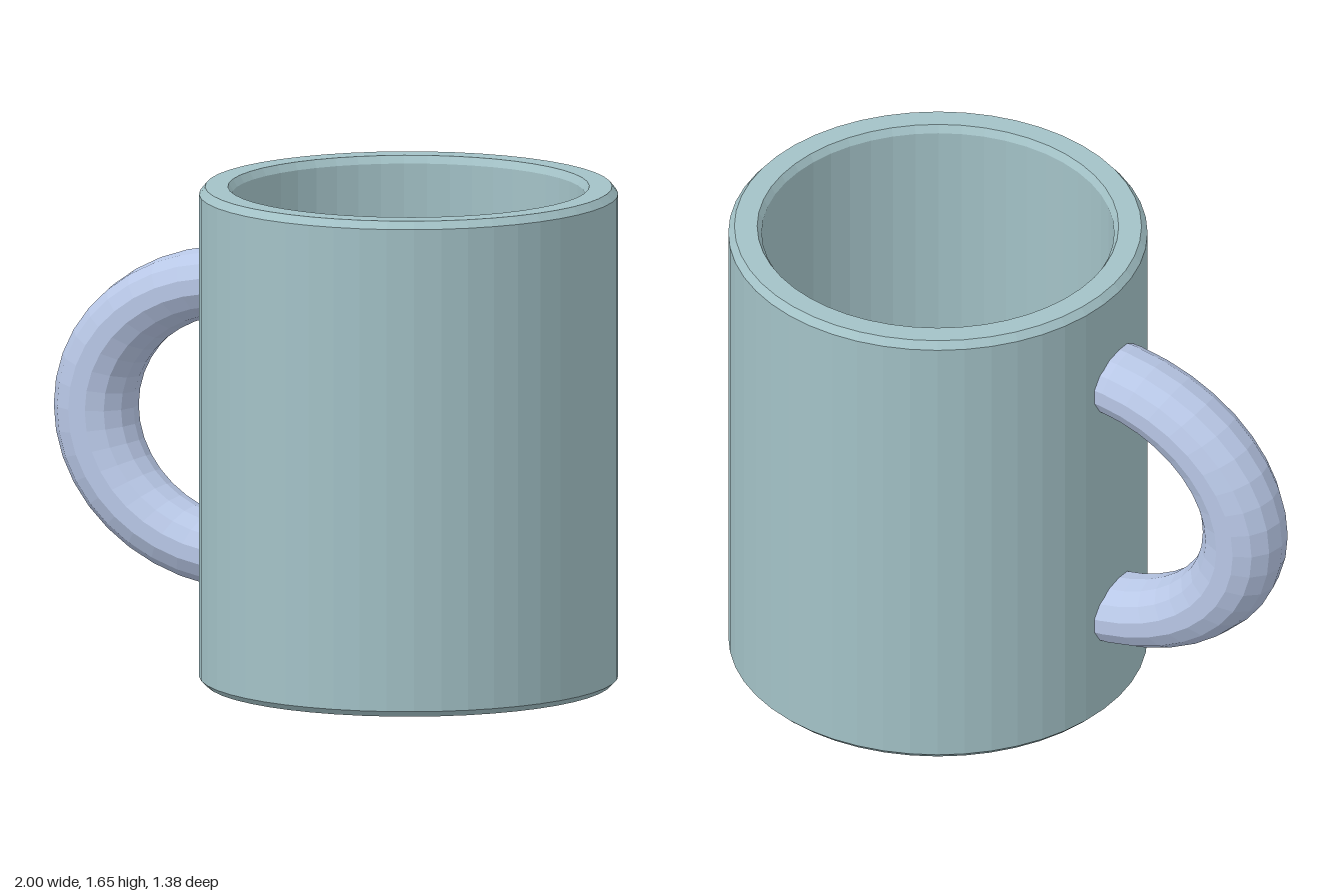
import * as THREE from 'three';

function part(name, geometry, color) {
  const material = new THREE.MeshStandardMaterial({ color, flatShading: true });
  const mesh = new THREE.Mesh(geometry, material);
  mesh.name = name;
  return mesh;
}

export function createModel() {
  const mug = new THREE.Group();
  mug.name = 'mug';

  // Cup: one closed profile, from the underside up the outer wall and down inside to the floor
  const profile = [
    [0, 0], [0.67, 0], [0.69, 0.02],
    [0.69, 1.63], [0.67, 1.655],
    [0.595, 1.655], [0.58, 1.63],
    [0.58, 0.16], [0.54, 0.11], [0, 0.11],
  ].map(([r, y]) => new THREE.Vector2(r, y));
  const cup = part('cup', new THREE.LatheGeometry(profile, 48), 0xa3c2c7);
  cup.position.x = 0.31;
  mug.add(cup);

  // Handle: half a ring, squashed in height, with both ends sunk in the wall
  const ring = new THREE.TorusGeometry(0.56, 0.14, 14, 20, Math.PI);
  ring.rotateZ(Math.PI / 2);
  ring.scale(1, 0.82, 1);
  const handle = part('handle', ring, 0xb8c7e6);
  handle.position.set(-0.3, 0.83, 0);
  mug.add(handle);

  return mug;
}
